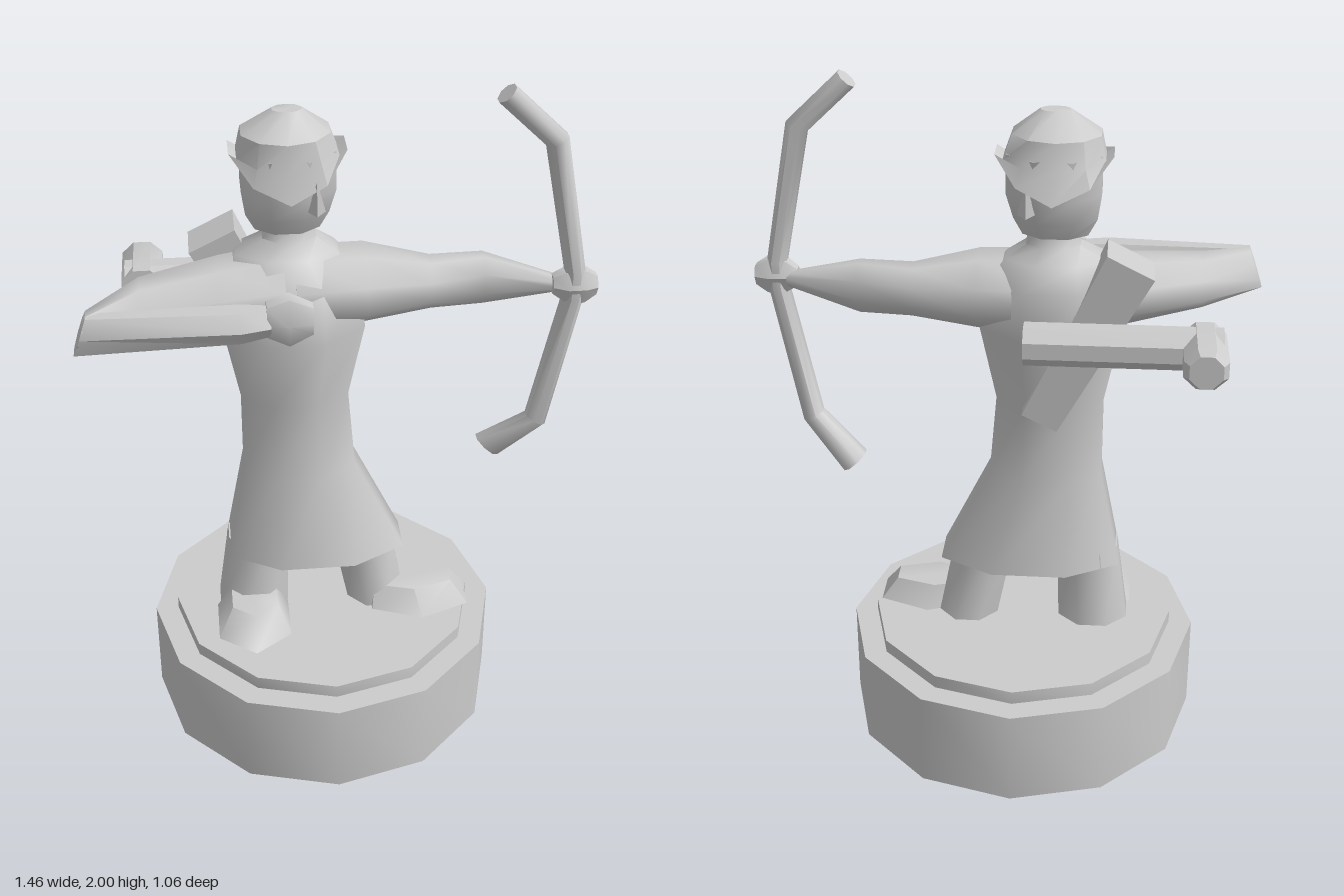
import * as THREE from 'three';
import { toCreasedNormals } from 'three/addons/utils/BufferGeometryUtils.js';

const material = new THREE.MeshStandardMaterial({ color: 0xcccccc, side: THREE.DoubleSide });

// Cross axes [cos, sin] for rings stacked along each main axis.
const AXES = {
  x: [[1, 0, 0], [0, 1, 0], [0, 0, -1]],
  y: [[0, 1, 0], [1, 0, 0], [0, 0, 1]],
  z: [[0, 0, 1], [1, 0, 0], [0, -1, 0]],
};

// Skin rings [x, y, z, halfA, halfB, tilt] along an axis and close both ends.
function loft(axis, sections, sides = 8) {
  const [main, u, v] = AXES[axis].map((a) => new THREE.Vector3(...a));
  const grow = 1 / Math.cos(Math.PI / sides);
  const centres = sections.map(([x, y, z]) => new THREE.Vector3(x, y, z));
  const rings = sections.map(([, , , a, b, tilt = 0], i) =>
    Array.from({ length: sides }, (_, j) => {
      const t = ((j + 0.5) / sides) * Math.PI * 2;
      const du = Math.cos(t) * a * grow;
      return centres[i].clone().addScaledVector(u, du)
        .addScaledVector(v, Math.sin(t) * b * grow).addScaledVector(main, du * tilt);
    }));
  const points = [];
  const last = rings.length - 1;
  for (let j = 0; j < sides; j++) {
    const k = (j + 1) % sides;
    for (let i = 0; i < last; i++) {
      const [p, q, r, s] = [rings[i][j], rings[i + 1][j], rings[i + 1][k], rings[i][k]];
      points.push(p, q, s, q, r, s);
    }
    points.push(centres[0], rings[0][j], rings[0][k]);
    points.push(centres[last], rings[last][k], rings[last][j]);
  }
  return new THREE.BufferGeometry().setFromPoints(points);
}

export function createModel() {
  const group = new THREE.Group();
  const add = (name, geometry, crease = 0.9) => {
    const mesh = new THREE.Mesh(toCreasedNormals(geometry, crease), material);
    mesh.name = name;
    group.add(mesh);
    return mesh;
  };

  // Twelve-sided plinth with a raised plate
  const profile = [[0, 0], [0.53, 0], [0.53, 0.29], [0.46, 0.29], [0.46, 0.33], [0, 0.33]];
  add('base', new THREE.LatheGeometry(profile.map((p) => new THREE.Vector2(...p)), 12)).position.x = -0.045;

  // Robe, shoulders and neck
  add('robe', loft('y', [
    [-0.07, 0.53, 0, 0.27, 0.15],
    [-0.115, 0.84, -0.01, 0.165, 0.13],
    [-0.125, 1.08, -0.01, 0.155, 0.11],
    [-0.125, 1.31, -0.015, 0.2, 0.165],
    [-0.125, 1.45, -0.035, 0.19, 0.145],
    [-0.14, 1.52, -0.05, 0.14, 0.1],
    [-0.13, 1.56, -0.05, 0.075, 0.065],
    [-0.13, 1.62, -0.05, 0.07, 0.06],
  ]), 1.1);

  // Legs and boots
  add('rightLeg', loft('y', [[-0.265, 0.33, 0, 0.105, 0.1], [-0.245, 0.58, 0, 0.09, 0.09]]));
  add('leftLeg', loft('y', [[0.12, 0.33, 0, 0.09, 0.1], [0.07, 0.58, 0, 0.09, 0.09]]));
  add('rightBoot', loft('y', [
    [-0.27, 0.33, 0.13, 0.11, 0.14], [-0.265, 0.4, 0.1, 0.07, 0.09],
  ], 6));
  add('leftBoot', loft('y', [
    [0.25, 0.33, 0.06, 0.15, 0.1], [0.23, 0.4, 0.05, 0.12, 0.06],
  ], 6));

  // Arm stretched out to the bow
  add('leftArm', loft('x', [
    [-0.12, 1.41, -0.02, 0.1, 0.14],
    [0.08, 1.41, -0.03, 0.1, 0.13],
    [0.27, 1.4, -0.03, 0.07, 0.075],
    [0.42, 1.405, -0.03, 0.073, 0.05],
    [0.64, 1.4, 0.02, 0.02, 0.02],
  ]), 1.1);

  // Drawing arm: upper sleeve, folded forearm and fist
  add('rightUpperArm', loft('x', [
    [-0.71, 1.41, 0.19, 0.055, 0.045, 0.35],
    [-0.55, 1.415, 0.07, 0.07, 0.1],
    [-0.33, 1.41, 0, 0.09, 0.13],
    [-0.15, 1.42, -0.02, 0.1, 0.14],
  ]), 1.1);
  add('rightForearm', loft('x', [
    [-0.71, 1.41, 0.205, 0.055, 0.03, 0.35],
    [-0.28, 1.425, 0.215, 0.045, 0.05],
    [-0.2, 1.43, 0.215, 0.035, 0.04],
  ], 6));
  add('rightHand', loft('x', [
    [-0.21, 1.435, 0.215, 0.045, 0.035],
    [-0.15, 1.435, 0.22, 0.07, 0.042],
    [-0.085, 1.435, 0.22, 0.04, 0.03],
  ], 6));

  // Head and ears
  add('head', loft('y', [
    [-0.135, 1.59, -0.05, 0.09, 0.07],
    [-0.135, 1.64, -0.05, 0.115, 0.1],
    [-0.13, 1.71, -0.05, 0.13, 0.12],
    [-0.13, 1.82, -0.05, 0.13, 0.12],
  ]));
  for (const side of [-1, 1]) {
    const ear = add('ear', new THREE.ConeGeometry(0.025, 0.1, 4));
    ear.position.set(-0.06, 1.72, -0.05 + side * 0.12);
    ear.rotation.x = side * 0.25;
  }

  // Cap whose brim sweeps up to a point before and behind
  const cap = loft('y', [
    [-0.13, 1.71, -0.055, 0.16, 0.15],
    [-0.13, 1.8, -0.05, 0.14, 0.13],
    [-0.135, 1.87, -0.045, 0.12, 0.115],
    [-0.13, 1.93, -0.04, 0.04, 0.03],
  ], 10);
  const pos = cap.attributes.position;
  for (let i = 0; i < pos.count; i++) {
    if (pos.getY(i) > 1.75) continue;
    const d = (pos.getX(i) + 0.13) / 0.16;
    pos.setY(i, 1.71 + 0.11 * d * d);
  }
  add('cap', cap, 0.6);

  // Bow with swept tips and a hand at the grip
  add('bow', loft('y', [
    [0.46, 0.835, -0.02, 0.032, 0.038, -0.9],
    [0.59, 0.96, 0.035, 0.028, 0.036, -0.5],
    [0.67, 1.37, 0.04, 0.028, 0.036],
    [0.67, 1.45, 0.04, 0.028, 0.036],
    [0.59, 1.845, 0.04, 0.028, 0.036, 0.5],
    [0.445, 1.98, 0.04, 0.022, 0.036, 0.9],
  ], 8));
  add('leftHand', loft('x', [
    [0.61, 1.405, 0.03, 0.025, 0.025],
    [0.65, 1.405, 0.04, 0.05, 0.036],
    [0.7, 1.405, 0.04, 0.05, 0.036],
    [0.735, 1.405, 0.04, 0.028, 0.025],
  ], 6), 0.6);

  // Slanted quiver on the back
  add('quiver', loft('y', [
    [-0.1, 1.05, -0.13, 0.05, 0.03, 0.5],
    [-0.345, 1.54, -0.125, 0.065, 0.07, 0.5],
  ], 4));

  // Angled bar slung across the back
  add('backBar', loft('x', [
    [-0.6, 1.335, -0.245, 0.055, 0.055], [-0.06, 1.335, -0.245, 0.055, 0.055],
  ]), 0.6);
  add('backBarEnd', loft('z', [
    [-0.55, 1.335, -0.4, 0.045, 0.045],
    [-0.55, 1.335, -0.38, 0.06, 0.056],
    [-0.55, 1.335, -0.19, 0.06, 0.056],
  ]), 0.6);

  return group;
}
